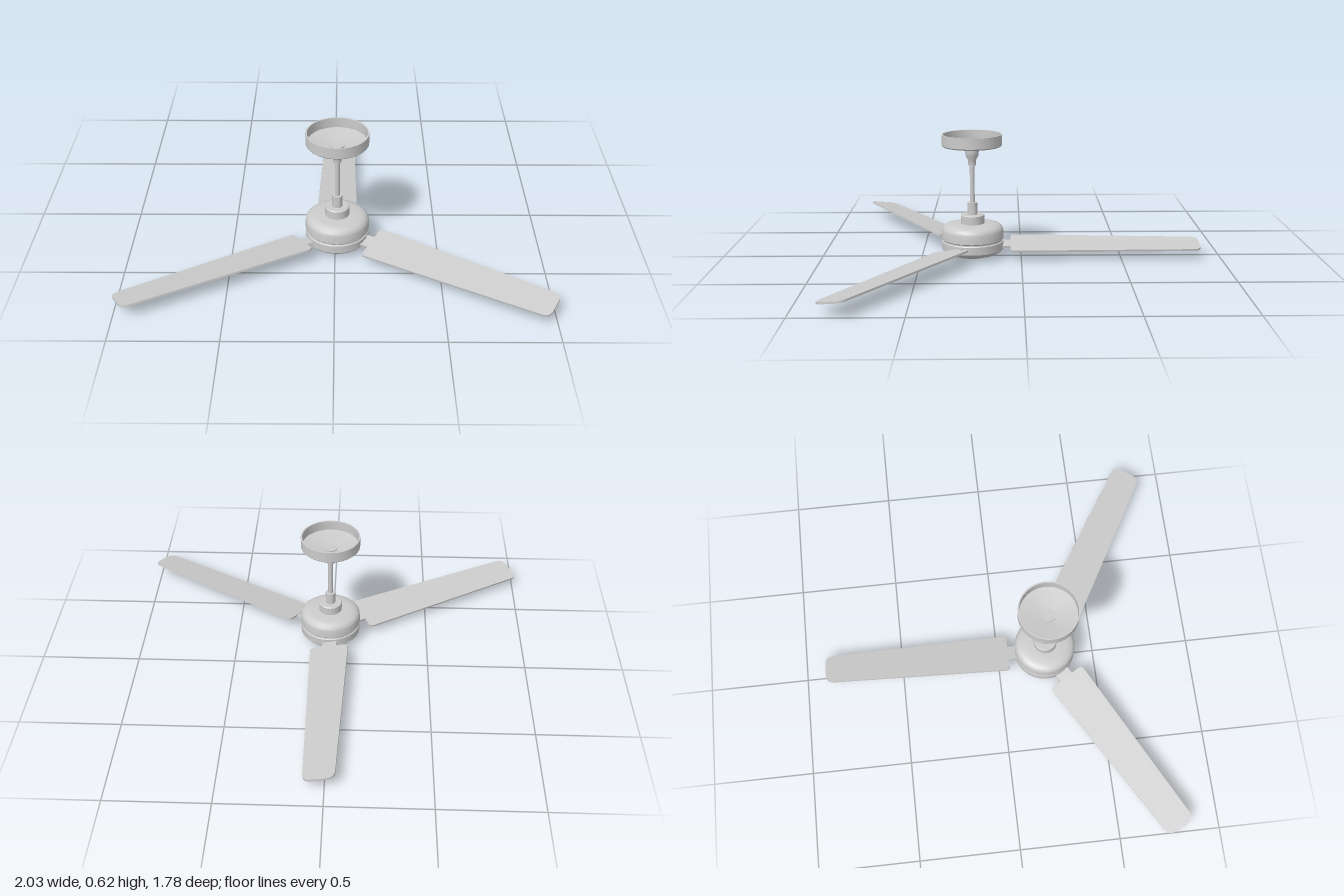
import * as THREE from 'three';
import { toCreasedNormals } from 'three/addons/utils/BufferGeometryUtils.js';

const material = new THREE.MeshStandardMaterial({ color: 0xcccccc });
const PITCH = 0.18;
const BLADE_Y = 0.066;

function mesh(name, geometry, parent) {
  const m = new THREE.Mesh(geometry, material);
  m.name = name;
  parent.add(m);
  return m;
}

// Turned part from [radius, height] pairs, listed bottom to top on the outside
function turned(name, profile, parent, sides = 28) {
  const points = profile.map(([r, y]) => new THREE.Vector2(r, y));
  const geometry = new THREE.LatheGeometry(points, sides).toNonIndexed();
  return mesh(name, toCreasedNormals(geometry, 0.6), parent);
}

// Tapered blade outline with rounded corners; shape y runs outward from the hub
function bladeGeometry() {
  const corners = [[-0.1, 0.19, 0.025], [0.1, 0.19, 0.025], [0.09, 1.142, 0.04], [-0.06, 1.142, 0.04]]
    .map(([x, y, r]) => ({ p: new THREE.Vector2(x, y), r }));
  const shape = new THREE.Shape();
  corners.forEach(({ p, r }, i) => {
    const before = corners[(i + 3) % 4].p;
    const after = corners[(i + 1) % 4].p;
    const a = before.clone().sub(p).setLength(r).add(p);
    const b = after.clone().sub(p).setLength(r).add(p);
    if (i === 0) shape.moveTo(a.x, a.y);
    else shape.lineTo(a.x, a.y);
    shape.quadraticCurveTo(p.x, p.y, b.x, b.y);
  });
  shape.closePath();
  const geometry = new THREE.ExtrudeGeometry(shape, { depth: 0.01, bevelEnabled: false, curveSegments: 6 });
  geometry.translate(0, 0, -0.005);
  geometry.rotateX(-Math.PI / 2); // lay flat, pointing to -z
  return toCreasedNormals(geometry, 0.6);
}

export function createModel() {
  const model = new THREE.Group();
  model.name = 'ceilingFan';
  const fan = new THREE.Group();
  fan.name = 'fan';
  fan.position.set(0.011, 0, 0.244);
  model.add(fan);

  // Ceiling canopy: thin cup, open at the top
  turned('canopy', [
    [0, 0.543], [0.035, 0.543], [0.144, 0.563], [0.15, 0.569], [0.15, 0.623],
    [0.143, 0.623], [0.143, 0.573], [0.035, 0.552], [0, 0.552],
  ], fan);

  // Hanging rod with its upper coupling and lower collar
  turned('coupling', [
    [0, 0.467], [0.02, 0.467], [0.021, 0.495], [0.032, 0.515], [0.034, 0.535], [0.034, 0.558], [0, 0.558],
  ], fan, 20);
  mesh('rod', new THREE.CylinderGeometry(0.012, 0.012, 0.3, 16), fan).position.y = 0.38;
  turned('rodCollar', [[0, 0.21], [0.025, 0.21], [0.025, 0.279], [0, 0.279]], fan, 20);
  turned('motorCap', [[0, 0.16], [0.059, 0.16], [0.059, 0.214], [0.055, 0.218], [0, 0.218]], fan);

  // Motor housing: rounded upper drum, narrow groove, shallow lower bowl
  turned('upperHousing', [
    [0, 0.091], [0.15, 0.091], [0.155, 0.096], [0.155, 0.138], [0.151, 0.152],
    [0.138, 0.164], [0.115, 0.17], [0.09, 0.173], [0, 0.173],
  ], fan);
  mesh('housingGroove', new THREE.CylinderGeometry(0.148, 0.148, 0.02, 28), fan).position.y = 0.089;
  turned('lowerHousing', [
    [0, 0], [0.045, 0.002], [0.085, 0.008], [0.12, 0.019], [0.145, 0.033],
    [0.154, 0.043], [0.155, 0.082], [0.152, 0.086], [0, 0.086],
  ], fan);

  // Three pitched blades, each on a short bracket
  const blade = bladeGeometry();
  const bracket = new THREE.BoxGeometry(0.074, 0.012, 0.12);
  for (let i = 0; i < 3; i++) {
    const arm = new THREE.Group();
    arm.name = 'bladeArm' + (i + 1);
    arm.rotation.y = (i * Math.PI * 2) / 3;
    const tilt = new THREE.Group();
    tilt.name = 'pitchedBlade';
    tilt.position.y = BLADE_Y;
    tilt.rotation.z = -PITCH;
    mesh('blade', blade, tilt);
    mesh('bladeBracket', bracket, tilt).position.set(0, -0.003, -0.18);
    arm.add(tilt);
    fan.add(arm);
  }
  return model;
}
